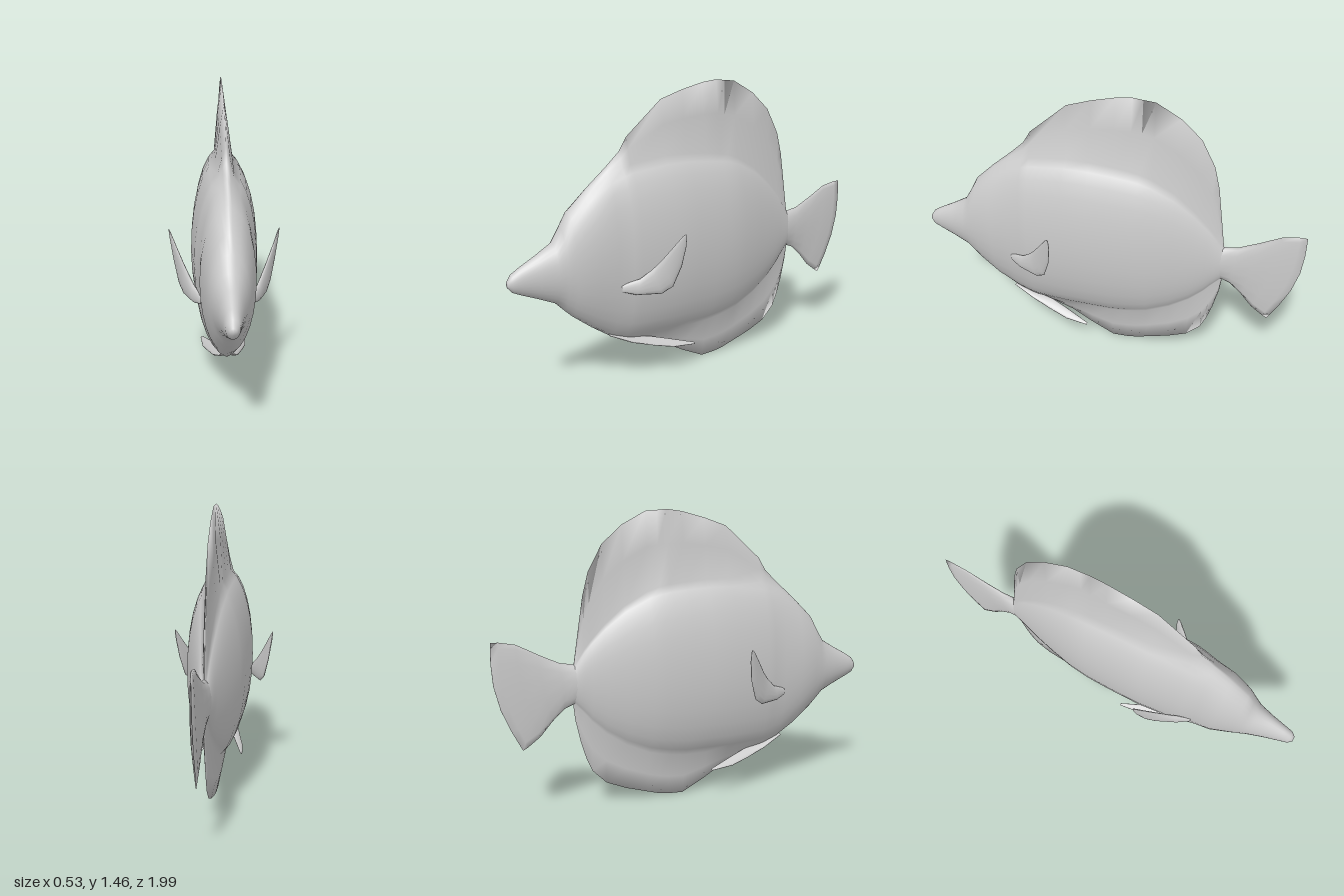
import * as THREE from 'three';

const material = new THREE.MeshStandardMaterial({ color: 0xcccccc, side: THREE.DoubleSide });

// Skin a list of closed rings (equal point counts) and close both ends.
function loft(name, rings) {
  const n = rings[0].length, index = [], pos = rings.flat(2);
  for (let i = 0; i < rings.length - 1; i++) {
    for (let j = 0; j < n; j++) {
      const k = (j + 1) % n, a = i * n + j, b = i * n + k;
      index.push(a, b, a + n, b, b + n, a + n);
    }
  }
  [0, rings.length - 1].forEach((r) => {
    const centre = [0, 1, 2].map((c) => rings[r].reduce((s, p) => s + p[c], 0) / n);
    const m = pos.length / 3;
    pos.push(...centre);
    for (let j = 0; j < n; j++) {
      const a = r * n + j, b = r * n + (j + 1) % n;
      index.push(...(r === 0 ? [m, b, a] : [m, a, b]));
    }
  });
  const geometry = new THREE.BufferGeometry();
  geometry.setAttribute('position', new THREE.Float32BufferAttribute(pos, 3));
  geometry.setIndex(index);
  geometry.computeVertexNormals();
  const mesh = new THREE.Mesh(geometry, material);
  mesh.name = name;
  return mesh;
}

// Lens-shaped blade: each station is [edge A, edge B, half thickness, backward bow].
function blade(name, stations, axis, side = 1) {
  const count = 14;
  return loft(name, stations.map(([a, b, thick, bow = 0]) =>
    Array.from({ length: count }, (_, j) => {
      const angle = (j / count) * Math.PI * 2, t = (1 - Math.cos(angle)) / 2;
      const p = a.map((v, c) => v + (b[c] - v) * t + axis[c] * thick * Math.sin(angle));
      return [p[0] * side, p[1], p[2] - bow * Math.sin(Math.PI * t)];
    })));
}

// Body cross-section: elliptical core running out into thin fins above and below.
function bodyRing([z, w, finTop, top, bottom, finBottom, fold = 0.5]) {
  const mid = (top + bottom) / 2, h = (top - bottom) / 2, half = [];
  const steps = 12, start = 0.26;
  for (let i = 0; i <= steps; i++) {
    const angle = start + (Math.PI - 2 * start) * (i / steps);
    half.push([w * Math.sin(angle), mid + h * Math.cos(angle)]);
  }
  const [x0, y0] = half[0], [x1, y1] = half[steps];
  half.unshift([x0 * fold, y0 + (finTop - y0) * 0.55]);
  half.push([x1 * 0.5, y1 + (finBottom - y1) * 0.55]);
  const right = half.map(([x, y]) => [x, y, z]);
  const left = half.map(([x, y]) => [-x, y, z]).reverse();
  return [[0, finTop, z], ...right, [0, finBottom, z], ...left];
}

export function createModel() {
  const fish = new THREE.Group();
  fish.name = 'fish';

  // Body with dorsal and anal fins: z, half width, fin top, core top, core bottom, fin bottom, fold
  const stations = [
    [1.0, 0.014, 0.62, 0.62, 0.59, 0.59],
    [0.98, 0.03, 0.65, 0.65, 0.565, 0.565],
    [0.94, 0.038, 0.675, 0.675, 0.545, 0.545],
    [0.86, 0.055, 0.718, 0.718, 0.51, 0.51],
    [0.78, 0.076, 0.765, 0.765, 0.472, 0.472],
    [0.74, 0.088, 0.83, 0.83, 0.43, 0.43],
    [0.7, 0.1, 0.905, 0.9, 0.39, 0.39],
    [0.6, 0.125, 1.0, 0.99, 0.31, 0.31],
    [0.5, 0.124, 1.085, 1.06, 0.245, 0.24],
    [0.43, 0.14, 1.15, 1.09, 0.22, 0.21],
    [0.39, 0.146, 1.215, 1.105, 0.21, 0.195],
    [0.2, 0.16, 1.38, 1.13, 0.2, 0.13],
    [0.08, 0.157, 1.42, 1.13, 0.2, 0.06],
    [-0.04, 0.15, 1.45, 1.12, 0.2, 0.0, 0.55],
    [-0.12, 0.145, 1.46, 1.11, 0.21, 0.004, 0.55],
    [-0.17, 0.138, 1.455, 1.1, 0.22, 0.012, 0.2],
    [-0.23, 0.13, 1.45, 1.08, 0.235, 0.03, 0.35],
    [-0.35, 0.1, 1.385, 1.01, 0.29, 0.067],
    [-0.45, 0.073, 1.295, 0.92, 0.36, 0.11],
    [-0.52, 0.052, 1.165, 0.84, 0.43, 0.18],
    [-0.55, 0.044, 1.05, 0.8, 0.47, 0.25],
    [-0.575, 0.037, 0.89, 0.76, 0.5, 0.335],
    [-0.6, 0.03, 0.73, 0.72, 0.53, 0.45],
    [-0.607, 0.027, 0.715, 0.71, 0.535, 0.52],
  ];
  fish.add(loft('body', stations.map(bodyRing)));

  // Tail stalk and fan
  fish.add(blade('tail', [
    [[0, 0.71, -0.5], [0, 0.54, -0.5], 0.04],
    [[0, 0.725, -0.6], [0, 0.53, -0.6], 0.032],
    [[0, 0.737, -0.67], [0, 0.51, -0.65], 0.025],
    [[0, 0.785, -0.77], [0, 0.455, -0.71], 0.019, 0.01],
    [[0, 0.838, -0.87], [0, 0.385, -0.77], 0.015, 0.025],
    [[0, 0.853, -0.95], [0, 0.34, -0.83], 0.012, 0.04],
    [[0, 0.853, -0.985], [0, 0.325, -0.855], 0.003, 0.048],
  ], [1, 0, 0]));

  for (const [label, side] of [['left', 1], ['right', -1]]) {
    // Pectoral fin: swept up and out from the flank
    fish.add(blade(label + 'PectoralFin', [
      [[0.115, 0.54, 0.49], [0.12, 0.505, 0.49], 0.006],
      [[0.15, 0.565, 0.41], [0.15, 0.488, 0.43], 0.012],
      [[0.178, 0.61, 0.36], [0.195, 0.486, 0.32], 0.013],
      [[0.2, 0.65, 0.325], [0.217, 0.52, 0.27], 0.012],
      [[0.232, 0.715, 0.28], [0.24, 0.62, 0.235], 0.009],
      [[0.258, 0.772, 0.24], [0.257, 0.72, 0.22], 0.005],
      [[0.265, 0.782, 0.227], [0.264, 0.772, 0.221], 0.002],
    ], [1, 0, 0.4], side));

    // Pelvic fin: slim blade trailing under the belly
    fish.add(blade(label + 'PelvicFin', [
      [[0.015, 0.262, 0.52], [0.04, 0.258, 0.52], 0.004],
      [[0.02, 0.222, 0.41], [0.06, 0.205, 0.41], 0.008],
      [[0.035, 0.205, 0.3], [0.085, 0.172, 0.3], 0.008],
      [[0.065, 0.178, 0.2], [0.108, 0.148, 0.2], 0.006],
      [[0.105, 0.145, 0.08], [0.116, 0.138, 0.08], 0.002],
    ], [0.5, 0.85, 0], side));
  }
  return fish;
}
